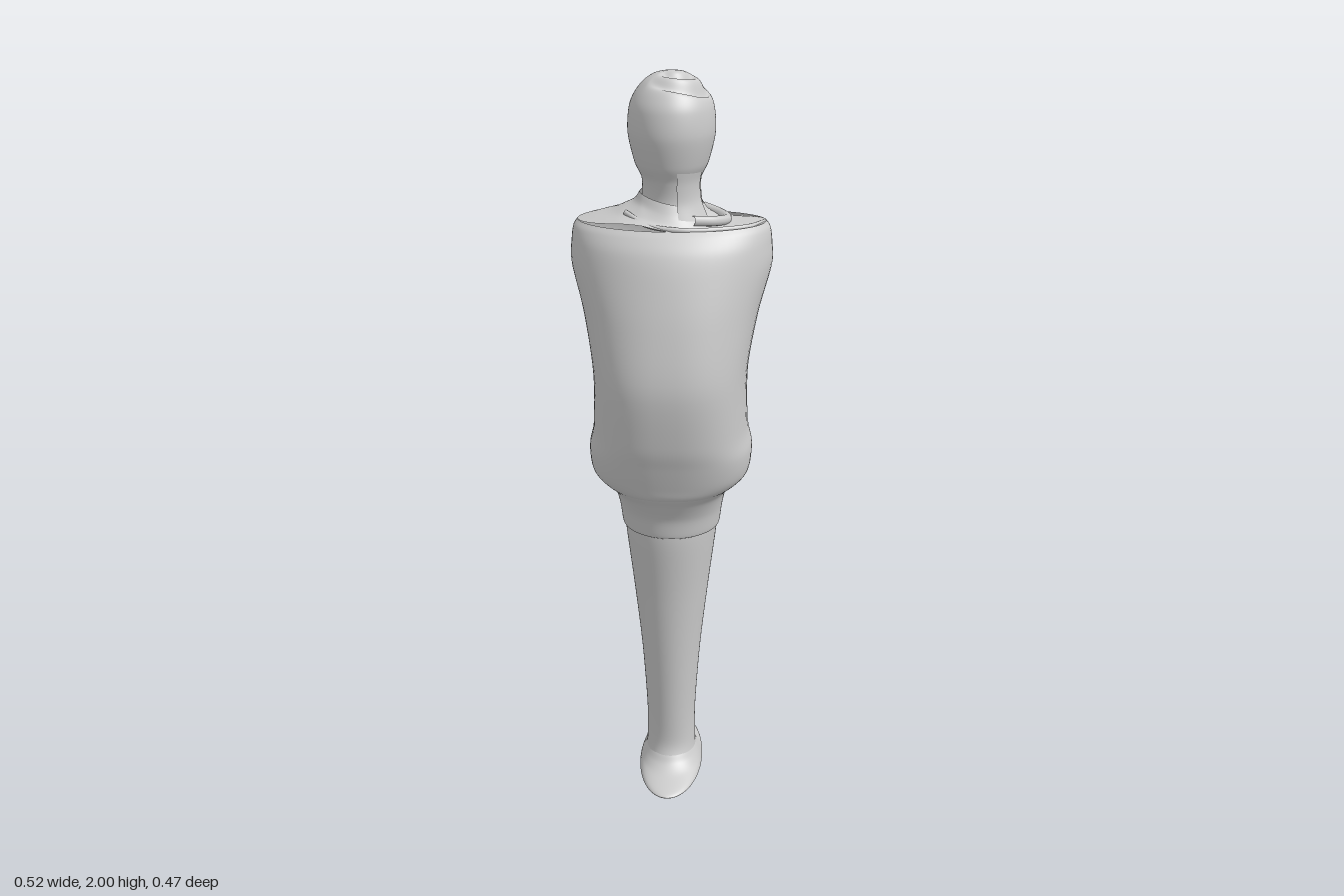
import * as THREE from 'three';

const material = new THREE.MeshStandardMaterial({ color: 0xcccccc, roughness: 0.8, side: THREE.DoubleSide });

// Smooth loft through cross-sections: [y, half width, front z, back z, squareness, z of widest point]
function loft(name, rows, { steps = 6, sides = 72, arc = null, warp = null } = {}) {
  const spline = (a, b, c) => new THREE.CatmullRomCurve3(
    rows.map(r => new THREE.Vector3(r[a], r[b], r[c])), false, 'catmullrom', 0.45);
  const outer = spline(0, 1, 2), inner = spline(3, 4, 5);
  const rings = (rows.length - 1) * steps, cols = arc ? sides + 1 : sides;
  const [from, to] = arc || [0, Math.PI * 2];
  const positions = [], index = [], v = new THREE.Vector3();
  for (let i = 0; i <= rings; i++) {
    const o = outer.getPoint(i / rings), n = inner.getPoint(i / rings);
    for (let j = 0; j < cols; j++) {
      const a = from + (to - from) * j / sides, s = Math.sin(a), c = Math.cos(a);
      const e = 2 / (c > 0 ? n.y : 2);
      const depth = c > 0 ? o.z - n.z : n.z - n.x;
      v.set(Math.sign(s) * Math.abs(s) ** e * Math.max(o.y, 0), o.x,
        n.z + Math.sign(c) * Math.abs(c) ** e * depth);
      if (warp) warp(v);
      positions.push(v.x, v.y, v.z);
    }
  }
  for (let i = 0; i < rings; i++) {
    for (let j = 0; j < sides; j++) {
      const k = (j + 1) % cols, a = i * cols + j, b = i * cols + k;
      index.push(a, b, a + cols, b, b + cols, a + cols);
    }
  }
  const geometry = new THREE.BufferGeometry();
  geometry.setAttribute('position', new THREE.Float32BufferAttribute(positions, 3));
  geometry.setIndex(index);
  geometry.computeVertexNormals();
  const mesh = new THREE.Mesh(geometry, material);
  mesh.name = name;
  return mesh;
}

// Thin rounded fold following a few points
function fold(name, points, radius) {
  const curve = new THREE.CatmullRomCurve3(points.map(p => new THREE.Vector3(...p)));
  const mesh = new THREE.Mesh(new THREE.TubeGeometry(curve, 48, radius, 8), material);
  mesh.name = name;
  return mesh;
}

// Spiral groove wound into the crown, deepest at the front left
function crownSwirl(v) {
  if (v.y < 1.93) return;
  const x = v.x, z = v.z + 0.025, r = Math.hypot(x, z);
  const turn = (Math.atan2(x, z) + Math.PI) / (Math.PI * 2);
  const side = Math.max(0, Math.cos(Math.atan2(x, z) - 0.75));
  for (const lap of [0, 1]) {
    const d = (r - 0.018 - 0.038 * (lap + turn)) / 0.011;
    v.y -= 0.024 * side * Math.exp(-d * d) * Math.min(1, (v.y - 1.93) / 0.02);
  }
}

export function createModel() {
  const model = new THREE.Group();

  // Joined legs tapering into a flat lens-shaped foot
  model.add(loft('legs', [
    [0.03, 0.082, 0.09, -0.12, 2, -0.02],
    [0.055, 0.072, 0.07, -0.11, 2, -0.02],
    [0.1, 0.07, 0.056, -0.1, 2, -0.02],
    [0.2, 0.07, 0.06, -0.108, 2, -0.02],
    [0.4, 0.083, 0.075, -0.122, 2, -0.02],
    [0.6, 0.104, 0.09, -0.138, 2, -0.02],
    [0.77, 0.124, 0.107, -0.158, 2, -0.02],
    [0.85, 0.13, 0.105, -0.165, 2, -0.02],
    [0.895, 0.125, 0.1, -0.15, 2, -0.02],
    [0.92, 0.09, 0.07, -0.1, 2, -0.02],
  ]));
  model.add(loft('foot', [
    [0.001, 0.001, -0.018, -0.022, 2, -0.02],
    [0.001, 0.05, 0.1, -0.13, 2, -0.02],
    [0.002, 0.088, 0.18, -0.232, 2, -0.02],
    [0.012, 0.09, 0.178, -0.23, 2, -0.02],
    [0.028, 0.085, 0.115, -0.17, 2, -0.02],
    [0.045, 0.078, 0.083, -0.125, 2, -0.02],
    [0.065, 0.069, 0.066, -0.104, 2, -0.02],
  ]));

  // Front hem hanging over the top of the legs
  model.add(loft('frontHem', [
    [0.796, 0.126, 0.104, -0.15, 2, -0.02],
    [0.797, 0.133, 0.113, -0.15, 2, -0.02],
    [0.85, 0.14, 0.122, -0.15, 2.1, -0.02],
    [0.9, 0.152, 0.146, -0.15, 2.2, -0.02],
    [0.93, 0.175, 0.164, -0.16, 2.3, -0.02],
    [0.96, 0.2, 0.172, -0.16, 2.4, -0.02],
  ], { arc: [-1.62, 1.62] }));

  // Wrapped torso: full belly, waist tuck, broad shoulders
  model.add(loft('torso', [
    [0.905, 0.11, 0.09, -0.1, 2, -0.02],
    [0.91, 0.145, 0.135, -0.135, 2.1, -0.02],
    [0.93, 0.178, 0.165, -0.158, 2.3, -0.02],
    [0.965, 0.21, 0.178, -0.17, 2.4, -0.02],
    [1.03, 0.217, 0.198, -0.172, 2.5, -0.02],
    [1.1, 0.204, 0.217, -0.166, 2.6, -0.02],
    [1.25, 0.202, 0.234, -0.164, 2.6, -0.02],
    [1.4, 0.226, 0.21, -0.167, 2.3, -0.025],
    [1.52, 0.257, 0.178, -0.168, 2, -0.03],
    [1.58, 0.256, 0.155, -0.162, 2, -0.03],
    [1.615, 0.251, 0.13, -0.148, 2, -0.03],
    [1.632, 0.24, 0.113, -0.135, 2, -0.03],
  ]));

  // Shoulder slope, higher on the right, sunken on the left
  model.add(loft('shoulders', [
    [1.632, 0.24, 0.113, -0.135, 2, -0.03],
    [1.637, 0.205, 0.1, -0.13, 2, -0.03],
    [1.645, 0.15, 0.092, -0.125, 2, -0.03],
    [1.665, 0.1, 0.08, -0.115, 2, -0.03],
    [1.69, 0.08, 0.068, -0.11, 2, -0.025],
  ], {
    warp: v => {
      const t = Math.min(1, Math.max(0, (0.24 - Math.abs(v.x)) / 0.12));
      v.y -= Math.sign(v.x) * 0.014 * t * Math.min(1, Math.abs(v.x) / 0.07);
    },
  }));

  // Neck and head with a wound crown
  model.add(loft('head', [
    [1.63, 0.088, 0.08, -0.125, 2, -0.025],
    [1.69, 0.076, 0.064, -0.113, 2, -0.025],
    [1.74, 0.075, 0.07, -0.118, 2, -0.025],
    [1.78, 0.093, 0.086, -0.14, 2, -0.027],
    [1.85, 0.109, 0.1, -0.153, 2, -0.028],
    [1.91, 0.106, 0.094, -0.152, 2, -0.028],
    [1.945, 0.093, 0.078, -0.138, 2, -0.028],
    [1.975, 0.069, 0.053, -0.105, 2, -0.026],
    [1.993, 0.04, 0.02, -0.068, 2, -0.025],
    [2.0, 0.001, -0.024, -0.026, 2, -0.025],
  ], { steps: 12, sides: 112, warp: crownSwirl }));

  // Cloth folds at the neck and collar
  model.add(loft('neckFlap', [
    [1.64, 0.105, 0.088, -0.12, 2, -0.025],
    [1.69, 0.083, 0.075, -0.11, 2, -0.025],
    [1.735, 0.079, 0.076, -0.11, 2, -0.025],
    [1.77, 0.086, 0.082, -0.12, 2, -0.025],
  ], { sides: 24, arc: [0.25, 1.2] }));
  model.add(fold('collarEdge', [[-0.11, 1.665, 0.05], [-0.05, 1.642, 0.092], [0.04, 1.634, 0.104],
    [0.13, 1.632, 0.077], [0.2, 1.63, 0.03], [0.235, 1.628, -0.028]], 0.007));
  model.add(fold('collarFold', [[0.06, 1.65, 0.068], [0.11, 1.645, 0.045], [0.14, 1.64, 0],
    [0.125, 1.642, -0.05], [0.08, 1.65, -0.09]], 0.013));
  return model;
}
